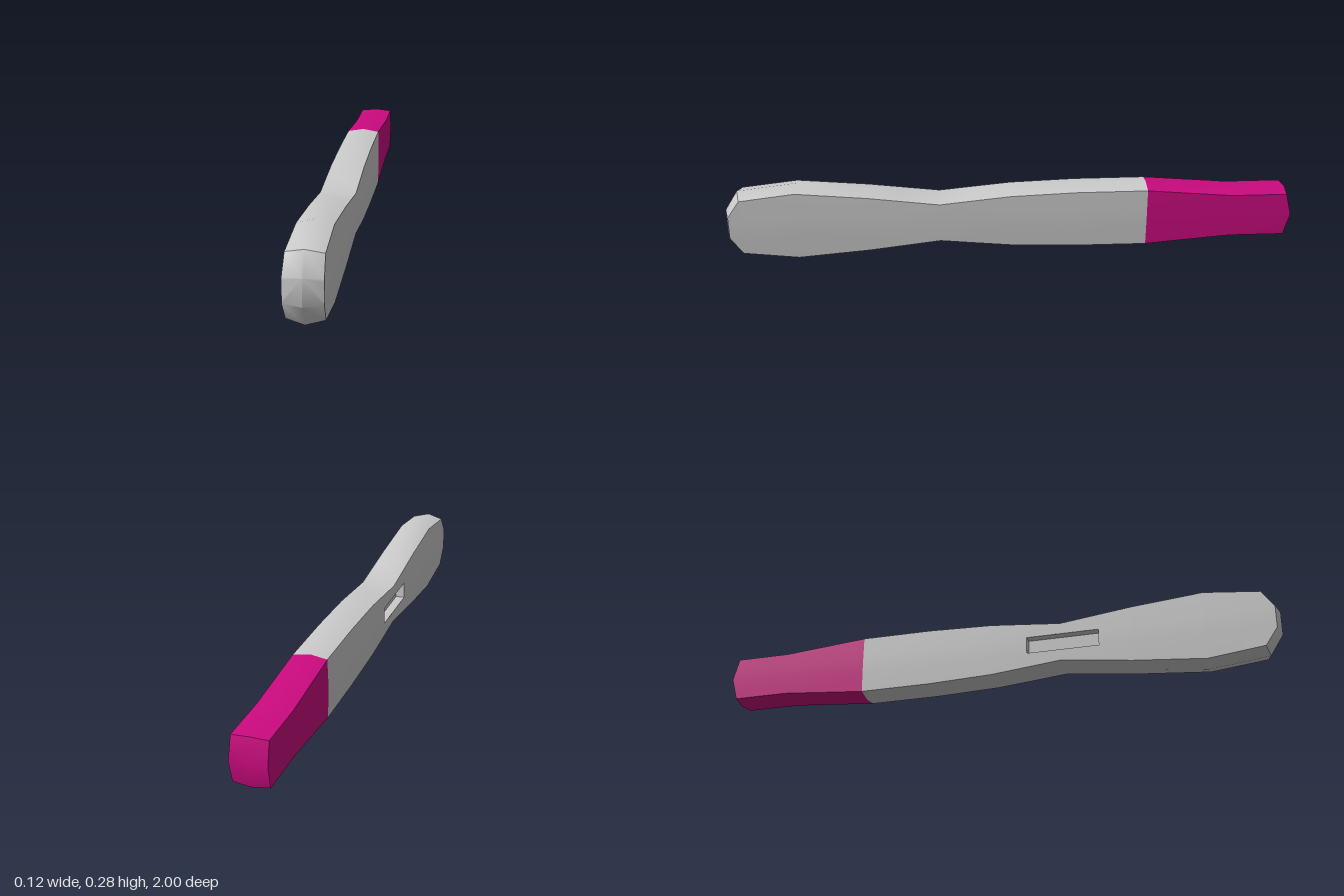
import * as THREE from 'three';
import { toCreasedNormals } from 'three/addons/utils/BufferGeometryUtils.js';

const MID = 0.141;                       // height of the centre line
const SLOT = { z0: 0.13, z1: 0.385, half: 0.03, floor: 0.03 };

// Stations from front to back: [ridge z, ridge half height, side z, side half height]
const BODY = [
  [1, 0.043, 0.985, 0.04],
  [0.955, 0.114, 0.943, 0.101],
  [0.75, 0.139, 0.75, 0.124],
  [0.5, 0.1125, 0.5, 0.1015],
  [SLOT.z1, 0.0941, SLOT.z1, 0.0872],
  [0.25, 0.0725, 0.25, 0.0705],
  [SLOT.z0, 0.0864, SLOT.z0, 0.0827],
  [0, 0.1015, 0, 0.0955],
  [-0.23, 0.114, -0.23, 0.104],
  [-0.48, 0.1145, -0.48, 0.1045],
];
const TIP = [
  BODY[BODY.length - 1],
  [-0.78, 0.0835, -0.78, 0.0785],
  [-0.98, 0.0835, -0.975, 0.0785],
  [-1, 0, -0.995, 0],
];

// Cross-section ring: top ridge, +x side downwards, bottom ridge, -x side upwards
function ring([zr, hr, zs, hs]) {
  const m = Math.min(hs, SLOT.half);
  const rows = [hs, m, 0, -m, -hs];
  const side = (s) => (y) => new THREE.Vector3(s * (0.0615 - 0.25 * y * y), MID + y, zs);
  return [
    new THREE.Vector3(0, MID + hr, zr),
    ...rows.map(side(1)),
    new THREE.Vector3(0, MID - hr, zr),
    ...rows.slice().reverse().map(side(-1)),
  ];
}

// Skin over the rings, with an optional front cap and an opening for the slot
function loft(stations, capFront) {
  const rings = stations.map(ring);
  const pos = [];
  const tri = (a, b, c) => {
    if (new THREE.Triangle(a, b, c).getArea() < 1e-9) return;
    for (const p of [a, b, c]) pos.push(p.x, p.y, p.z);
  };
  for (let s = 0; s + 1 < rings.length; s++) {
    const inSlot = stations[s][0] <= SLOT.z1 && stations[s + 1][0] >= SLOT.z0;
    for (let i = 0; i < 12; i++) {
      if (inSlot && (i === 8 || i === 9)) continue;
      const j = (i + 1) % 12;
      const [a, b, c, d] = [rings[s][i], rings[s][j], rings[s + 1][j], rings[s + 1][i]];
      tri(a, b, d);
      tri(b, c, d);
    }
  }
  if (capFront) {
    const r = rings[0];
    for (let i = 1; i <= 10; i++) tri(r[0], r[i + 1], r[i]);
  }
  const geo = new THREE.BufferGeometry();
  geo.setAttribute('position', new THREE.Float32BufferAttribute(pos, 3));
  return toCreasedNormals(geo, THREE.MathUtils.degToRad(40));
}

export function createModel() {
  const group = new THREE.Group();
  group.name = 'handle';
  const add = (name, geo, mat) => {
    const mesh = new THREE.Mesh(geo, mat);
    mesh.name = name;
    group.add(mesh);
    return mesh;
  };

  add('body', loft(BODY, true), new THREE.MeshStandardMaterial({ color: 0xcccccc }));
  add('colouredTip', loft(TIP, false), new THREE.MeshStandardMaterial({ color: 0xcc0a80 }));

  // Recess on the -x side: inside of a box without its outer face
  const depth = 0.0612 - SLOT.floor;
  const box = new THREE.BoxGeometry(depth, SLOT.half * 2, SLOT.z1 - SLOT.z0);
  const idx = Array.from(box.index.array);
  idx.splice(6, 6);
  box.setIndex(idx);
  box.clearGroups();
  const slot = add('slotRecess', box,
    new THREE.MeshStandardMaterial({ color: 0xcccccc, side: THREE.BackSide }));
  slot.position.set(-SLOT.floor - depth / 2, MID, (SLOT.z0 + SLOT.z1) / 2);

  return group;
}
